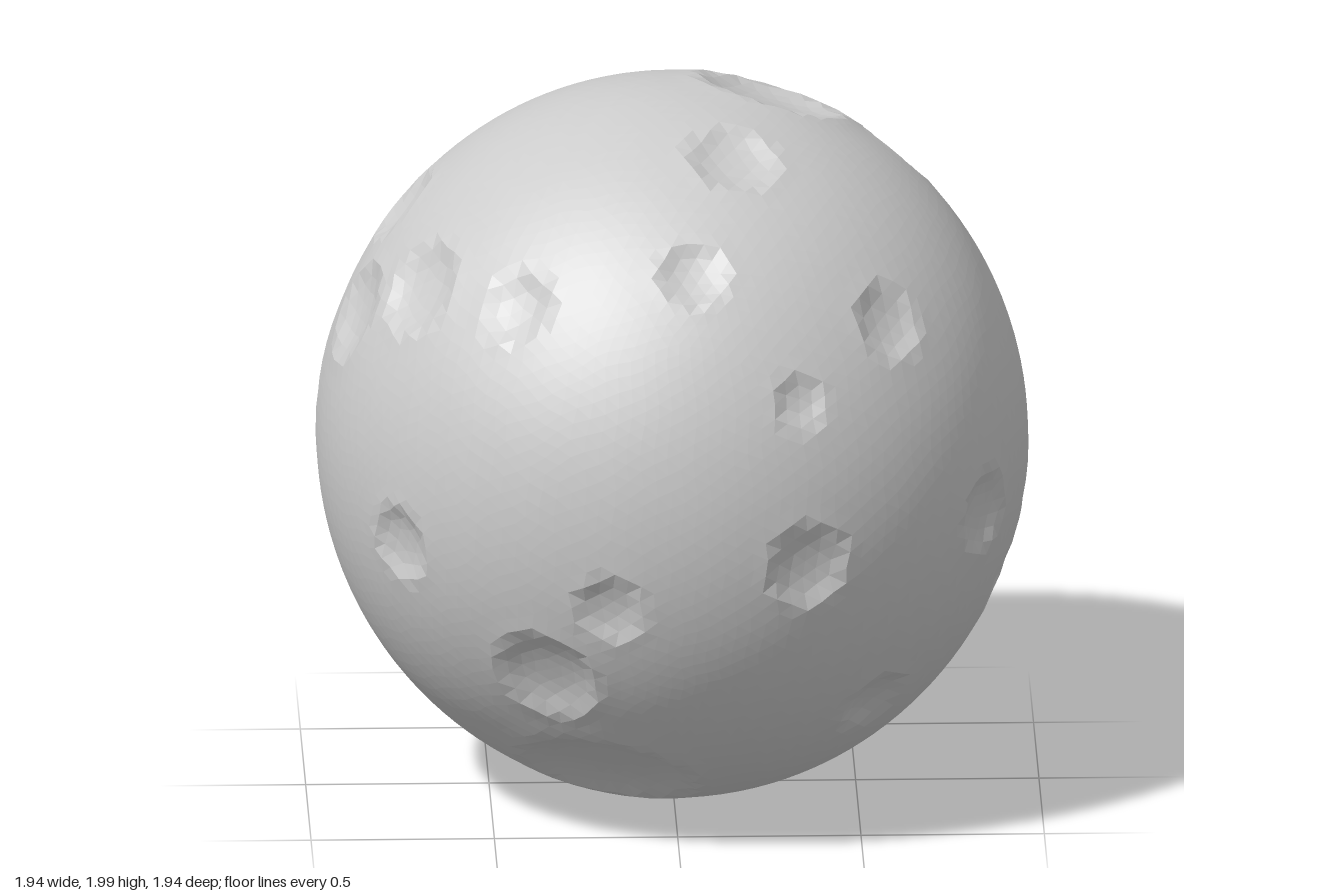
import * as THREE from 'three';

const SEMI_AXES = new THREE.Vector3(0.97, 0.995, 0.97);
const DEPTH = 0.25; // crater depth as a share of its radius
const rad = THREE.MathUtils.degToRad;

// Unit direction of each crater in a group that faces one way (azimuth from +z towards +x);
// each crater is [right, up, radius] on the disc facing that way.
function facing(azimuth, elevation, craters) {
  const turn = new THREE.Euler(-rad(elevation), rad(azimuth), 0, 'YXZ');
  return craters.map(([u, v, radius]) => ({
    dir: new THREE.Vector3(u, v, Math.sqrt(0.96 - u * u - v * v)).normalize().applyEuler(turn),
    radius,
  }));
}

const craterList = () => [
  // front
  ...facing(0, 0, [[0.58, 0.5, 0.11], [0.33, 0.35, 0.08], [0.35, -0.1, 0.12], [-0.2, -0.21, 0.1],
    [-0.37, -0.44, 0.15], [-0.77, -0.12, 0.11], [-0.2, -0.81, 0.25], [0.54, -0.58, 0.11], [0.04, 0.67, 0.1]]),
  // left side
  ...facing(90, 0, [[-0.48, -0.08, 0.12], [0.05, -0.17, 0.14], [-0.16, -0.36, 0.09],
    [0.49, -0.35, 0.17], [0.38, 0.09, 0.11]]),
  // top
  ...facing(0, 90, [[0.28, 0.15, 0.21], [0.44, 0.45, 0.12], [0.62, 0.22, 0.11], [0.16, -0.37, 0.13],
    [-0.71, -0.4, 0.14], [-0.45, -0.66, 0.11], [-0.88, -0.15, 0.14]]),
  // back
  ...facing(214, 25, [[0.6, -0.27, 0.23], [0.19, -0.63, 0.17], [-0.52, -0.15, 0.14], [-0.64, -0.51, 0.14],
    [-0.39, -0.49, 0.09], [0, -0.21, 0.1], [0.05, 0.22, 0.14], [-0.32, 0.39, 0.09], [-0.73, 0.17, 0.17],
    [0.57, 0.37, 0.13]]),
  // underside
  ...facing(138, -29, [[-0.19, -0.54, 0.11], [0.26, -0.43, 0.1]]),
];

// Height across a crater: flattened bowl, then a low rim that fades out
function craterHeight(t, radius) {
  const bowl = t < 1 ? t ** 2.6 - 1 : 0;
  const rim = 0.07 * Math.exp(-(((t - 1.05) / 0.22) ** 2));
  return DEPTH * radius * (bowl + rim);
}

function crateredGeometry() {
  const geometry = new THREE.IcosahedronGeometry(1, 26);
  const pos = geometry.attributes.position;
  const craters = craterList();
  const p = new THREE.Vector3();
  for (let i = 0; i < pos.count; i++) {
    p.fromBufferAttribute(pos, i);
    // A slight drift makes the facets uneven
    const { x, y, z } = p;
    p.x += 0.007 * Math.sin(31 * y + 17 * z);
    p.y += 0.007 * Math.sin(29 * z + 19 * x);
    p.z += 0.007 * Math.sin(37 * x + 13 * y);
    p.normalize();
    // Deepest bowl and highest rim win where craters overlap
    let low = 0;
    let high = 0;
    for (const { dir, radius } of craters) {
      const h = craterHeight(p.distanceTo(dir) / radius, radius);
      low = Math.min(low, h);
      high = Math.max(high, h);
    }
    p.multiply(SEMI_AXES).multiplyScalar(1 + low + high);
    pos.setXYZ(i, p.x, p.y, p.z);
  }
  geometry.computeVertexNormals();
  return geometry;
}

export function createModel() {
  const group = new THREE.Group();
  group.name = 'moon';
  const surface = new THREE.Mesh(
    crateredGeometry(),
    new THREE.MeshStandardMaterial({ color: 0xcccccc, flatShading: true }),
  );
  surface.name = 'crateredSurface';
  surface.position.y = 1;
  group.add(surface);
  return group;
}
